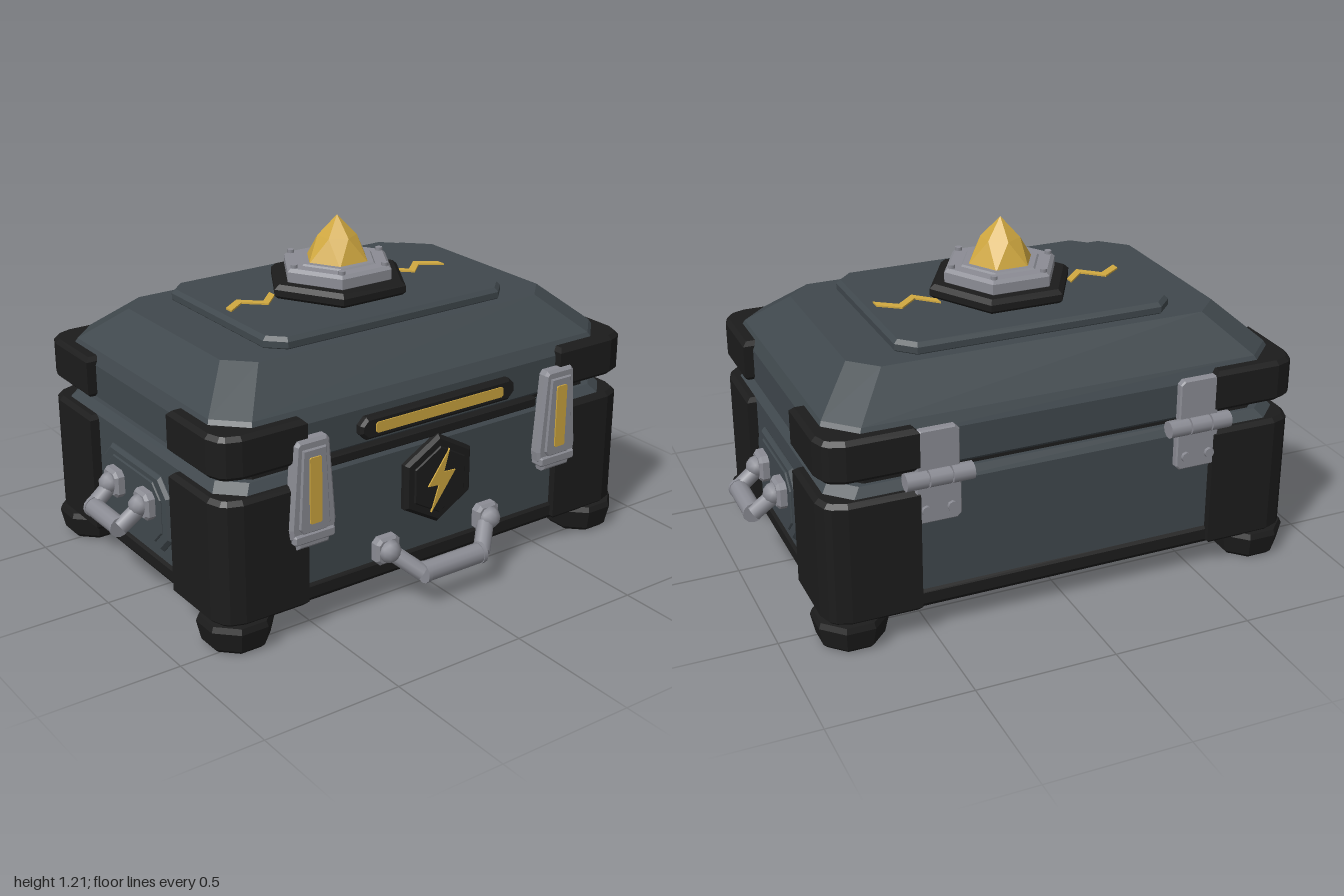
import * as THREE from 'three';

const mat = (name, color) => Object.assign(new THREE.MeshStandardMaterial({ color }), { name });
const ZC = -0.045; // middle of the chest body in z

// Chamfered rectangle outline
const chamferRect = (hx, hy, c) => [
  [hx, -hy + c], [hx, hy - c], [hx - c, hy], [-hx + c, hy],
  [-hx, hy - c], [-hx, -hy + c], [-hx + c, -hy], [hx - c, -hy]];

const polygon = (n, r, start = 0) => Array.from({ length: n }, (_, i) => {
  const a = start + i * 2 * Math.PI / n;
  return [r * Math.cos(a), r * Math.sin(a)];
});

// Bevelled plate with its back on z = 0 and its face on z = depth
function plate(points, depth, bevel = 0) {
  const shape = new THREE.Shape(points.map(p => new THREE.Vector2(...p)));
  return new THREE.ExtrudeGeometry(shape, {
    depth: depth - 2 * bevel, bevelEnabled: bevel > 0, bevelThickness: bevel,
    bevelSize: bevel, bevelOffset: -bevel, bevelSegments: 1
  }).translate(0, 0, bevel);
}
// The same plate lying flat, rising from y
const slab = (points, y, depth, bevel) => plate(points, depth, bevel).rotateX(-Math.PI / 2).translate(0, y, 0);

// Stack of chamfered rectangles [y, halfX, halfZ, chamfer], closed at both ends
function loft(rings) {
  const pos = [], idx = [], n = 8;
  rings.forEach(([y, hx, hz, c]) => chamferRect(hx, hz, c).forEach(([x, z]) => pos.push(x, y, -z)));
  for (let r = 0; r < rings.length - 1; r++)
    for (let i = 0; i < n; i++) {
      const a = r * n + i, b = r * n + (i + 1) % n;
      idx.push(a, b, b + n, a, b + n, a + n);
    }
  const top = (rings.length - 1) * n;
  for (let i = 1; i < n - 1; i++) idx.push(0, i + 1, i, top, top + i, top + i + 1);
  const g = new THREE.BufferGeometry();
  g.setAttribute('position', new THREE.Float32BufferAttribute(pos, 3));
  g.setIndex(idx);
  const flat = g.toNonIndexed();
  flat.computeVertexNormals();
  return flat;
}

// Cylinder between two points
function rod(a, b, r, sides = 10) {
  const A = new THREE.Vector3(...a), B = new THREE.Vector3(...b), d = B.clone().sub(A);
  const g = new THREE.CylinderGeometry(r, r, d.length(), sides);
  g.applyQuaternion(new THREE.Quaternion().setFromUnitVectors(new THREE.Vector3(0, 1, 0), d.normalize()));
  return g.translate(...A.add(B).multiplyScalar(0.5).toArray());
}

export function createModel() {
  const slate = mat('slate', 0x40484d), black = mat('black', 0x1c1c1c);
  const metal = mat('metal', 0x8b8c94), gold = mat('gold', 0xd0a840);
  const model = new THREE.Group();
  const chest = new THREE.Group();
  chest.name = 'chest';
  chest.position.z = ZC;
  model.add(chest);
  const add = (name, geo, m, parent = chest, x = 0, y = 0, z = 0) => {
    const mesh = new THREE.Mesh(geo, m);
    mesh.name = name;
    mesh.position.set(x, y, z);
    parent.add(mesh);
    return mesh;
  };
  const subgroup = (name, x, y, z) => {
    const g = new THREE.Group();
    g.name = name;
    g.position.set(x, y, z);
    chest.add(g);
    return g;
  };

  // Box and lid
  add('base', loft([[0.1, 0.835, 0.58, 0.08], [0.115, 0.845, 0.59, 0.08], [0.155, 0.845, 0.59, 0.08], [0.17, 0.83, 0.575, 0.08]]), black);
  add('body', loft([[0.16, 0.835, 0.58, 0.08], [0.55, 0.835, 0.58, 0.08], [0.58, 0.81, 0.555, 0.08]]), slate);
  add('seam', loft([[0.56, 0.79, 0.54, 0.08], [0.62, 0.79, 0.54, 0.08]]), black);
  add('frontLip', plate(chamferRect(0.45, 0.018, 0.005), 0.06, 0.005), black, chest, 0, 0.588, 0.53);
  add('lid', loft([[0.595, 0.8, 0.545, 0.09], [0.62, 0.835, 0.58, 0.1], [0.74, 0.835, 0.58, 0.1],
    [0.785, 0.815, 0.555, 0.1], [0.91, 0.68, 0.4, 0.09]]), slate);
  add('lidPanel', slab(chamferRect(0.51, 0.362, 0.06), 0.9, 0.05, 0.014), slate);

  // Corner guards and feet
  for (const sx of [1, -1]) for (const sz of [1, -1]) {
    const corner = [[0.54, 0.3], [0.54, 0.608], [0.785, 0.608], [0.835, 0.59], [0.853, 0.572],
      [0.87, 0.523], [0.87, 0.28], [0.6, 0.28]].map(([x, z]) => [x * sx, -z * sz]);
    add('lowerCornerGuard', slab(corner, 0.1, 0.45, 0.015), black);
    add('upperCornerGuard', slab(corner, 0.62, 0.15, 0.015), black);
    const profile = [[0, 0], [0.1, 0], [0.116, 0.015], [0.132, 0.085], [0.124, 0.105], [0, 0.11]]
      .map(p => new THREE.Vector2(...p));
    const foot = new THREE.LatheGeometry(profile, 8).rotateY(Math.PI / 8).toNonIndexed();
    foot.computeVertexNormals();
    add('foot', foot, black, chest, 0.763 * sx, 0, 0.502 * sz);
  }

  // Crystal on its hexagonal mount
  add('crystalBase', slab(polygon(6, 0.267), 0.945, 0.055, 0.016), black);
  add('crystalPlate', slab(polygon(6, 0.212), 0.99, 0.06, 0.012), metal);
  add('crystalCollar', slab(polygon(6, 0.15), 1.04, 0.016, 0.006), metal);
  for (const [x, z] of polygon(6, 0.185))
    add('mountBolt', new THREE.CylinderGeometry(0.013, 0.013, 0.02, 8), metal, chest, x, 1.052, z);
  const low = polygon(6, 0.122), mid = polygon(6, 0.07, Math.PI / 6), tri = [];
  for (let i = 0; i < 6; i++) {
    const j = (i + 1) % 6, h = (i + 5) % 6;
    const L = k => [low[k][0], 1.05, low[k][1]], M = k => [mid[k][0], 1.14, mid[k][1]];
    tri.push(...L(i), ...M(i), ...L(j), ...L(i), ...M(h), ...M(i), ...M(i), 0, 1.214, 0, ...M(j));
    tri.splice(-9, 9, ...M(i), 0, 1.214, 0, ...M(j));
  }
  const crystal = new THREE.BufferGeometry();
  crystal.setAttribute('position', new THREE.Float32BufferAttribute(tri, 3));
  crystal.computeVertexNormals();
  add('crystal', crystal, gold);

  // Zigzag inlays on the lid
  for (const s of [1, -1]) {
    const path = [[0.25, 0.045], [0.32, -0.025], [0.39, 0.04], [0.465, -0.015]], w = 0.018;
    const outline = [...path.map(([x, y]) => [x * s, y + w]), ...path.reverse().map(([x, y]) => [x * s, y - w])];
    add('zigzagInlay', slab(outline, 0.948, 0.008, 0), gold);
  }

  // Front bar and lightning emblem
  add('barFrame', plate(chamferRect(0.33, 0.04, 0.025), 0.04, 0.01), black, chest, 0, 0.675, 0.568);
  add('barInlay', plate(chamferRect(0.272, 0.019, 0.006), 0.008), gold, chest, 0, 0.675, 0.604);
  add('emblemFrame', plate(polygon(6, 0.165, Math.PI / 6), 0.04, 0.012), black, chest, 0, 0.415, 0.568);
  add('emblemPlate', plate(polygon(6, 0.125, Math.PI / 6), 0.01, 0.004), black, chest, 0, 0.415, 0.604);
  add('emblemBolt', plate([[0.035, 0.11], [-0.055, -0.012], [-0.008, -0.016], [-0.04, -0.112],
    [0.062, 0.025], [0.012, 0.028]], 0.008), gold, chest, 0, 0.415, 0.611);

  // Front latches
  for (const s of [1, -1]) {
    const latch = subgroup('latch', 0.529 * s, 0, 0.575);
    const half = [[0.055, 0.705], [0.067, 0.69], [0.09, 0.4], [0.085, 0.365], [0.068, 0.355], [0.062, 0.322]];
    const mirror = h => [...h, ...h.map(([x, y]) => [-x, y]).reverse()];
    add('latchPlate', plate(mirror(half), 0.048, 0.01), metal, latch);
    add('latchFace', plate(mirror([[0.045, 0.675], [0.06, 0.4], [0.045, 0.38]]), 0.012, 0.004), metal, latch, 0, 0, 0.044);
    add('latchFoot', plate(chamferRect(0.08, 0.018, 0.006), 0.056, 0.006), metal, latch, 0, 0.362, 0);
    add('latchInlay', plate(chamferRect(0.023, 0.117, 0.004), 0.008), gold, latch, 0, 0.53, 0.053);
  }

  // Drop handles: mounts on the wall, bent arms and a thicker grip
  function handle(name, mountX, gripX, drop, out, r) {
    const g = subgroup(name, 0, 0, 0);
    for (const s of [1, -1]) {
      add('handleMount', plate(chamferRect(0.05, 0.05, 0.018), 0.045, 0.01), metal, g, mountX * s);
      add('handleKnuckle', new THREE.IcosahedronGeometry(r * 1.15, 1), metal, g, mountX * s, 0, 0.045);
      add('handleArm', rod([mountX * s, 0, 0.03], [gripX * s, -drop, out], r * 0.85), metal, g);
    }
    add('handleGrip', rod([-gripX, -drop, out], [gripX, -drop, out], r, 12), metal, g);
    for (const s of [1, -1])
      add('gripEnd', rod([gripX * s * 0.88, -drop, out], [gripX * s, -drop, out], r * 1.08, 12), metal, g);
    return g;
  }
  handle('frontHandle', 0.22, 0.13, 0.08, 0.115, 0.036).position.set(0, 0.21, 0.575);
  for (const s of [1, -1]) {
    const panel = subgroup('sidePanel', 0.825 * s, 0.345, 0);
    panel.rotation.y = s * Math.PI / 2;
    add('sideFrame', plate(chamferRect(0.232, 0.14, 0.06), 0.028, 0.012), slate, panel);
    add('sidePlate', plate(chamferRect(0.19, 0.112, 0.05), 0.01, 0.004), slate, panel, 0, 0, 0.024);
    const h = handle('sideHandle', 0.108, 0.1, 0.066, 0.118, 0.034);
    h.position.set(0.848 * s, 0.37, 0);
    h.rotation.y = s * Math.PI / 2;
  }

  // Back hinges
  for (const s of [1, -1]) {
    const hinge = subgroup('hinge', 0.477 * s, 0.59, -0.575);
    hinge.rotation.y = Math.PI;
    add('upperLeaf', plate(chamferRect(0.075, 0.08, 0.015), 0.03, 0.005), metal, hinge, 0, 0.09, 0);
    add('lowerLeaf', plate(chamferRect(0.08, 0.08, 0.015), 0.03, 0.005), metal, hinge, 0, -0.085, 0);
    for (const i of [-1, 0, 1])
      add('hingeBarrel', rod([i * 0.08 - 0.037, 0, 0.03], [i * 0.08 + 0.037, 0, 0.03], 0.031, 10), metal, hinge);
    add('hingePin', rod([-0.11, 0, 0.03], [0.11, 0, 0.03], 0.02, 8), metal, hinge);
    for (const x of [-0.045, 0.045])
      add('hingeBolt', rod([x, -0.115, 0.02], [x, -0.115, 0.042], 0.018, 8), metal, hinge);
  }
  return model;
}
